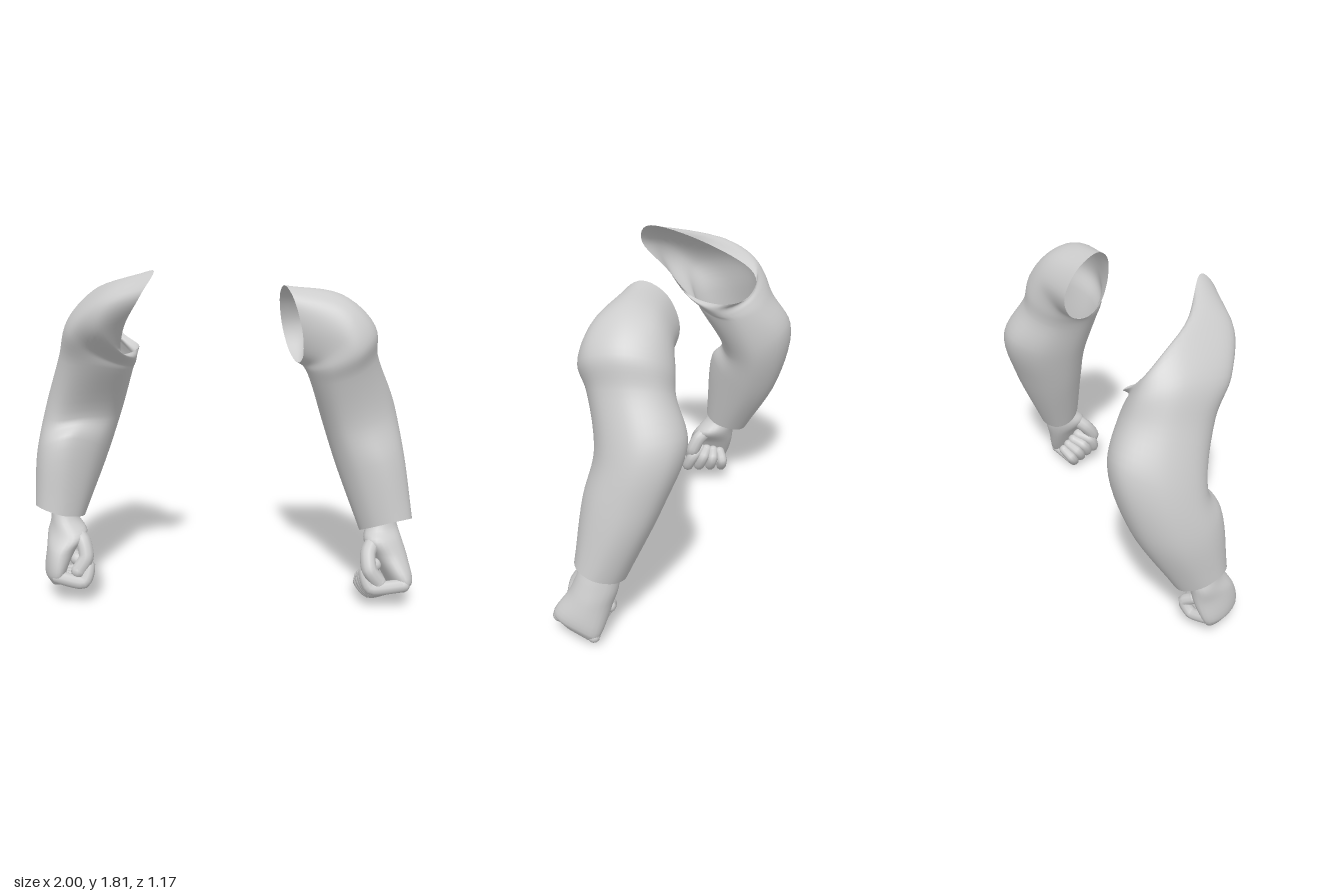
import * as THREE from 'three';

const grey = new THREE.MeshStandardMaterial({ color: 0xcccccc, side: THREE.DoubleSide });
grey.name = 'grey';
const V = (p) => new THREE.Vector3(...p);

// Fill a front, outer, back, inner section up to eight points on an ellipse
function eightPoints(section) {
  const p = section.map(V);
  if (p.length === 8) return p;
  const c = p.reduce((s, q) => s.add(q), new THREE.Vector3()).multiplyScalar(0.25);
  return p.flatMap((q, k) => {
    const mid = q.clone().add(p[(k + 1) % 4]).addScaledVector(c, -2).multiplyScalar(Math.SQRT1_2).add(c);
    return [q, mid];
  });
}

// Smooth skin over cross-sections
function loft(name, sections, side, capEnd = false, around = 32, stepsPer = 5) {
  const rings = sections.map(eightPoints);
  const rails = rings[0].map((_, k) => new THREE.CatmullRomCurve3(rings.map((r) => r[k])));
  const rows = (sections.length - 1) * stepsPer;
  const pos = [];
  const idx = [];
  for (let i = 0; i <= rows; i++) {
    const knots = rails.map((r) => r.getPoint(i / rows));
    const ring = new THREE.CatmullRomCurve3(knots, true, 'catmullrom', 0.5);
    for (let j = 0; j < around; j++) pos.push(...ring.getPoint(j / around).toArray());
    if (i === rows && capEnd) pos.push(...knots[0].clone().add(knots[4]).multiplyScalar(0.5).toArray());
  }
  const tri = (a, b, c) => (side > 0 ? idx.push(a, b, c) : idx.push(a, c, b));
  for (let j = 0; j < around; j++) {
    const k = (j + 1) % around;
    for (let i = 0; i < rows; i++) {
      const a = i * around;
      const b = a + around;
      tri(a + j, b + j, a + k);
      tri(a + k, b + j, b + k);
    }
    if (capEnd) tri(rows * around + j, (rows + 1) * around, rows * around + k);
  }
  const geo = new THREE.BufferGeometry();
  geo.setAttribute('position', new THREE.Float32BufferAttribute(pos, 3));
  geo.setIndex(idx);
  geo.computeVertexNormals();
  const mesh = new THREE.Mesh(geo, grey);
  mesh.name = name;
  return mesh;
}

// Bent finger: a tube with rounded ends
function finger(name, points, r) {
  const g = new THREE.Group();
  g.name = name;
  const curve = new THREE.CatmullRomCurve3(points, false, 'catmullrom', 0.35);
  g.add(new THREE.Mesh(new THREE.TubeGeometry(curve, 20, r, 10), grey));
  for (const p of [points[0], points[points.length - 1]]) {
    const ball = new THREE.Mesh(new THREE.SphereGeometry(r, 10, 8), grey);
    ball.position.copy(p);
    g.add(ball);
  }
  return g;
}

function arm(name, side, d) {
  const g = new THREE.Group();
  g.name = name;
  g.add(loft('sleeve', d.sleeve, side, false, 48, 6));
  g.add(loft('palm', d.palm, side, true, 24, 5));
  // four fingers spaced between the index and the little finger
  ['indexFinger', 'middleFinger', 'ringFinger', 'littleFinger'].forEach((n, i) => {
    const pts = d.index.map((p, k) => V(p).lerp(V(d.little[k]), i / 3));
    g.add(finger(n, pts, 0.037 - i * 0.002));
  });
  g.add(finger('thumb', d.thumb.map(V), 0.042));
  return g;
}

// Left arm, reaching forward
const left = {
  sleeve: [
    [[.355, 1.5, .3], [.3, 1.72, .17], [.35, 1.5, -.02], [.38, 1.31, .16]],
    [[.54, 1.47, .41], [.6, 1.67, .22], [.55, 1.5, -.01], [.4, 1.3, .17]],
    [[.61, 1.39, .44], [.77, 1.52, .22], [.63, 1.39, -.025], [.42, 1.27, .2]],
    [[.63, 1.27, .4], [.81, 1.36, .19], [.66, 1.28, -.03], [.45, 1.2, .2]],
    [[.72, 1.0, .36], [.945, 1.09, .13], [.75, 1.08, -.095], [.53, .98, .17]],
    [[.79, .79, .41], [.985, .8, .2], [.81, .78, .01], [.605, .73, .21]],
    [[.85, .47, .45], [.995, .44, .34], [.85, .37, .2], [.715, .39, .31]],
  ],
  palm: [
    [[.83, .55, .37], [.9, .53, .3], [.83, .51, .21], [.76, .53, .29]],
    [[.82, .42, .4], [.92, .42, .32], [.84, .4, .23], [.74, .42, .32]],
    [[.81, .36, .45], [.935, .34, .36], [.85, .31, .24], [.71, .35, .37]],
    [[.84, .28, .49], [.955, .25, .39], [.87, .22, .27], [.765, .26, .37]],
    [[.88, .16, .57], [.965, .12, .43], [.92, .06, .33], [.83, .13, .43]],
    [[.88, .1, .53], [.94, .07, .43], [.92, .03, .36], [.85, .08, .43]],
  ],
  index: [[.87, .14, .54], [.71, .12, .49], [.69, .2, .45], [.76, .22, .41]],
  little: [[.93, .06, .36], [.76, .035, .36], [.71, .1, .31], [.78, .14, .3]],
  thumb: [[.78, .37, .37], [.71, .3, .43], [.7, .22, .48], [.75, .15, .49]],
};

// Right arm, drawn back, with a pointed shoulder edge
const right = {
  sleeve: [
    [[-.54, 1.53, .14], [-.475, 1.7, .27], [-.4, 1.815, .21], [-.56, 1.69, -.06],
      [-.57, 1.53, -.34], [-.46, 1.42, -.36], [-.4, 1.37, -.22], [-.53, 1.37, -.01]],
    [[-.66, 1.5, .14], [-.62, 1.72, .04], [-.61, 1.56, -.37], [-.42, 1.33, -.18]],
    [[-.7, 1.4, .02], [-.8, 1.53, -.1], [-.63, 1.49, -.42], [-.425, 1.29, -.2]],
    [[-.66, 1.3, -.03], [-.84, 1.32, -.22], [-.63, 1.37, -.47], [-.43, 1.26, -.25]],
    [[-.72, 1.0, -.18], [-.92, 1.01, -.3], [-.68, 1.17, -.585], [-.475, 1.02, -.37]],
    [[-.79, .9, -.115], [-.975, .79, -.27], [-.77, .81, -.53], [-.57, .76, -.33]],
    [[-.87, .48, -.08], [-1, .515, -.2], [-.87, .42, -.34], [-.73, .43, -.22]],
  ],
  palm: [
    [[-.85, .58, -.13], [-.92, .56, -.2], [-.85, .55, -.28], [-.78, .56, -.2]],
    [[-.85, .45, -.08], [-.92, .45, -.17], [-.85, .43, -.26], [-.77, .45, -.17]],
    [[-.82, .37, -.01], [-.935, .38, -.14], [-.87, .36, -.25], [-.735, .38, -.12]],
    [[-.88, .29, .02], [-.955, .3, -.09], [-.89, .27, -.24], [-.8, .29, -.1]],
    [[-.91, .18, .04], [-.97, .16, -.08], [-.92, .16, -.21], [-.86, .17, -.08]],
    [[-.91, .12, .01], [-.945, .11, -.08], [-.92, .11, -.18], [-.87, .12, -.08]],
  ],
  index: [[-.91, .16, 0], [-.78, .13, .035], [-.745, .21, 0], [-.8, .24, -.04]],
  little: [[-.92, .15, -.17], [-.81, .12, -.18], [-.76, .18, -.19], [-.81, .22, -.17]],
  thumb: [[-.81, .39, -.11], [-.765, .34, -.04], [-.755, .26, 0], [-.8, .19, .01]],
};

export function createModel() {
  const model = new THREE.Group();
  model.name = 'arms';
  model.add(arm('leftArm', 1, left), arm('rightArm', -1, right));
  return model;
}
